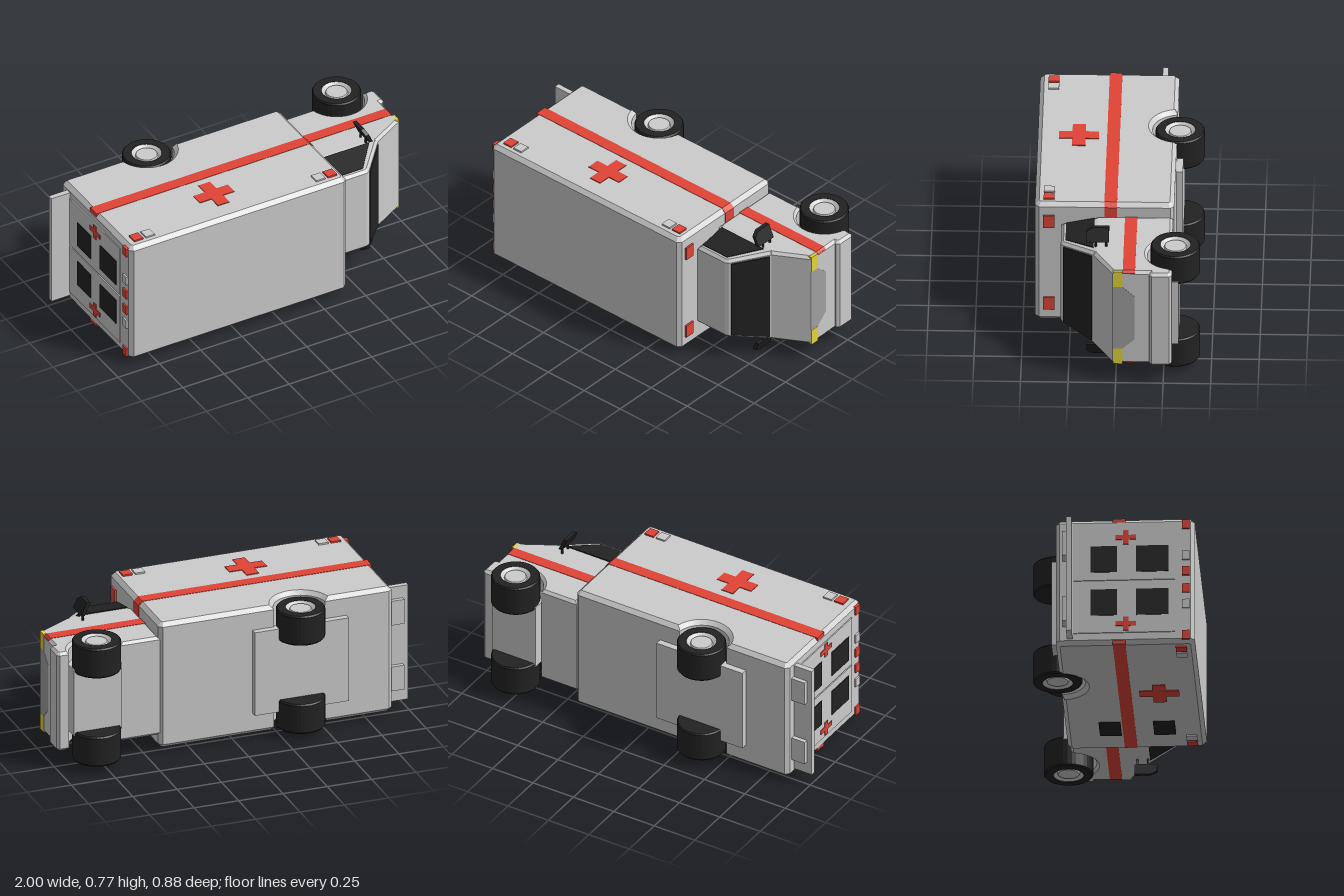
import * as THREE from 'three';

const GREY = 0xcccccc, DARK = 0x222222, RED = 0xe04436, YELLOW = 0xe6d53a, SHADE = 0xa0a0a0;

// Built in a vehicle frame: x forward, y up, z sideways; laid on its side at the end.
export function createModel() {
  const van = new THREE.Group();
  van.name = 'ambulance';

  function add(name, geo, color = GREY, smooth = false) {
    const mat = new THREE.MeshStandardMaterial({ color, flatShading: !smooth });
    const mesh = new THREE.Mesh(geo, mat);
    mesh.name = name;
    van.add(mesh);
    return mesh;
  }
  function box(name, color, x0, x1, y0, y1, z0, z1) {
    const g = new THREE.BoxGeometry(x1 - x0, y1 - y0, z1 - z0);
    g.translate((x0 + x1) / 2, (y0 + y1) / 2, (z0 + z1) / 2);
    return add(name, g, color);
  }
  const poly = pts => new THREE.Shape(pts.map(p => new THREE.Vector2(p[0], p[1])));

  // Side profile extruded across the vehicle, with chamfered flanks
  function profile(shape, half, bevel = 0, centre = 0) {
    const g = new THREE.ExtrudeGeometry(shape, {
      depth: 2 * (half - bevel), bevelEnabled: bevel > 0, bevelSegments: 1,
      bevelSize: bevel, bevelThickness: bevel, bevelOffset: -bevel, curveSegments: 20
    });
    return g.translate(0, 0, centre - half + bevel);
  }
  // Horizontal slab from a plan outline (x, z)
  function slab(pts, y0, y1) {
    const g = new THREE.ExtrudeGeometry(poly(pts), { depth: y1 - y0, bevelEnabled: false });
    return g.rotateX(-Math.PI / 2).translate(0, y0, 0);
  }
  // Leans the cab sides inward above the waistline
  function taper(g) {
    const p = g.attributes.position;
    for (let i = 0; i < p.count; i++) {
      const t = Math.max(0, p.getY(i) - 0.12) / 0.18;
      p.setZ(i, p.getZ(i) * (1 - 0.135 * t));
    }
    g.computeVertexNormals();
    return g;
  }
  // Underside line with a round wheel arch cut into it
  function arch(shape, cx, r, base) {
    const cy = -0.31, a = Math.asin((base - cy) / r);
    shape.lineTo(cx + r * Math.cos(a), base);
    shape.absarc(cx, cy, r, a, Math.PI - a, false);
  }

  // Rear body
  const body = poly([[-0.89, -0.275], [-0.89, 0.415], [-0.868, 0.437], [0.403, 0.437],
    [0.425, 0.415], [0.425, -0.275], [0.405, -0.295]]);
  arch(body, -0.365, 0.145, -0.295);
  body.lineTo(-0.87, -0.295);
  add('rearBody', profile(body, 0.361, 0.022));

  // Cab: lower part, upper part, bumper
  const lower = poly([[0.42, -0.29], [0.42, 0.12], [0.79, 0.12], [0.976, 0.016], [0.976, -0.29]]);
  arch(lower, 0.785, 0.148, -0.29);
  add('cabLower', profile(lower, 0.284, 0.015));
  const upper = poly([[0.43, 0.09], [0.43, 0.297], [0.62, 0.297], [0.64, 0.288], [0.79, 0.12], [0.79, 0.09]]);
  add('cabUpper', taper(profile(upper, 0.284, 0.015)));
  const bumper = poly([[0.935, -0.295], [0.935, -0.175], [0.985, -0.175], [1, -0.19], [1, -0.28], [0.985, -0.295]]);
  add('frontBumper', profile(bumper, 0.284, 0.015));

  // Windscreen
  const screen = poly([[0.645, 0.278], [0.653, 0.283], [0.788, 0.131], [0.78, 0.126]]);
  add('windscreen', taper(profile(screen, 0.262)), DARK);

  // Grille panel and headlamps
  const grille = poly([[-0.19, 0.014], [0.19, 0.014], [0.19, -0.035], [0.13, -0.1], [-0.13, -0.1], [-0.19, -0.035]]);
  const gg = new THREE.ExtrudeGeometry(grille, { depth: 0.008, bevelEnabled: false });
  add('grille', gg.rotateY(Math.PI / 2).translate(0.97, 0, 0), SHADE);

  // Stripes
  add('bodyStripe', slab([[-0.887, -0.363], [0.405, -0.363], [0.428, -0.34],
    [0.428, 0.34], [0.405, 0.363], [-0.887, 0.363]], 0.005, 0.072), RED);
  add('cabStripe', slab([[0.43, -0.286], [0.963, -0.286], [0.975, -0.272],
    [0.975, 0.272], [0.963, 0.286], [0.43, 0.286]], -0.102, -0.037), RED);

  // Chassis and rear step
  box('chassisPlate', GREY, -0.63, -0.1, -0.33, -0.28, -0.24, 0.24);
  box('rearAxle', GREY, -0.5, -0.23, -0.32, -0.16, -0.2, 0.2);
  box('frontAxle', GREY, 0.65, 0.92, -0.33, -0.16, -0.19, 0.19);
  box('rearStep', GREY, -1, -0.88, -0.235, -0.205, -0.33, 0.33);

  for (const s of [-1, 1]) {
    const side = (name, color, x0, x1, y0, y1, z0, z1) =>
      box(name, color, x0, x1, y0, y1, Math.min(s * z0, s * z1), Math.max(s * z0, s * z1));

    // Wheels
    for (const x of [-0.365, 0.785]) {
      const lathe = pts => new THREE.LatheGeometry(pts.map(p => new THREE.Vector2(p[0], p[1])), 36)
        .rotateX(s * Math.PI / 2).translate(x, -0.31, 0);
      add('tyre', lathe([[0, 0.17], [0.124, 0.17], [0.13, 0.178], [0.13, 0.332], [0.124, 0.34],
        [0.08, 0.34], [0.078, 0.31]]), DARK);
      add('wheelHub', lathe([[0.08, 0.338], [0.06, 0.322], [0.056, 0.332], [0, 0.332]]));
    }

    // Cab side window and headlamp
    const glass = poly([[0.445, 0.122], [0.445, 0.272], [0.613, 0.272], [0.735, 0.122]]);
    add('cabSideWindow', taper(profile(glass, 0.005, 0, s * 0.282)), DARK);
    side('headlamp', YELLOW, 0.955, 0.979, -0.035, 0.015, 0.19, 0.283);

    // Wing mirror on two struts
    const head = poly([[0.315, 0.04], [0.387, 0.04], [0.387, 0.128], [0.365, 0.16], [0.315, 0.16]]
      .map(([lat, y]) => [-s * lat, y]));
    const mg = new THREE.ExtrudeGeometry(head, { depth: 0.022, bevelEnabled: false }).rotateY(Math.PI / 2);
    const p = mg.attributes.position;
    for (let i = 0; i < p.count; i++) p.setX(i, p.getX(i) + 0.715 - (Math.abs(p.getZ(i)) - 0.315) * 0.45);
    mg.computeVertexNormals();
    add('wingMirror', mg, DARK);
    for (const y of [0.055, 0.11]) {
      const strut = new THREE.CylinderGeometry(0.006, 0.006, 0.06, 10).rotateX(Math.PI / 2);
      add('mirrorStrut', strut.translate(0.722, y, s * 0.3), DARK, true);
    }

    // Side cross and marker lamps
    side('sideCrossBar', RED, -0.365, -0.155, 0.185, 0.255, 0.355, 0.365);
    side('sideCrossPost', RED, -0.295, -0.225, 0.115, 0.325, 0.355, 0.365);
    for (const [x, c] of [[-0.84, RED], [-0.77, GREY], [0.263, GREY], [0.333, RED]]) {
      side('sideLamp', c, x, x + 0.054, 0.335, 0.392, 0.355, 0.37);
    }
    side('frontMarkerLamp', RED, 0.41, 0.435, 0.335, 0.393, 0.215, 0.29);

    // Rear doors, windows, crosses and lamps
    side('rearDoor', GREY, -0.896, -0.88, -0.2, 0.335, 0.004, 0.3);
    side('rearUpperWindow', DARK, -0.9, -0.88, 0.13, 0.3, 0.05, 0.2);
    side('rearLowerWindow', DARK, -0.9, -0.88, -0.11, 0.03, 0.05, 0.2);
    side('rearCrossBar', RED, -0.9, -0.88, 0.06, 0.09, 0.21, 0.29);
    side('rearCrossPost', RED, -0.9, -0.88, 0.02, 0.13, 0.237, 0.263);
    for (const [z, c] of [[0.05, RED], [0.14, GREY], [0.32, RED]]) {
      side('rearLamp', c, -0.9, -0.88, 0.37, 0.41, z - 0.025, z + 0.025);
    }
    side('stepBracket', GREY, -0.97, -0.88, -0.258, -0.23, 0.12, 0.26);
  }

  // Windows on the right flank only
  for (const y of [-0.118, 0.168]) box('bodySideWindow', DARK, 0.085, 0.25, y, y + 0.115, 0.35, 0.365);

  // Lay the vehicle on its right side
  van.rotation.x = Math.PI / 2;
  van.position.y = 0.387;
  const root = new THREE.Group();
  root.name = 'model';
  root.add(van);
  return root;
}
